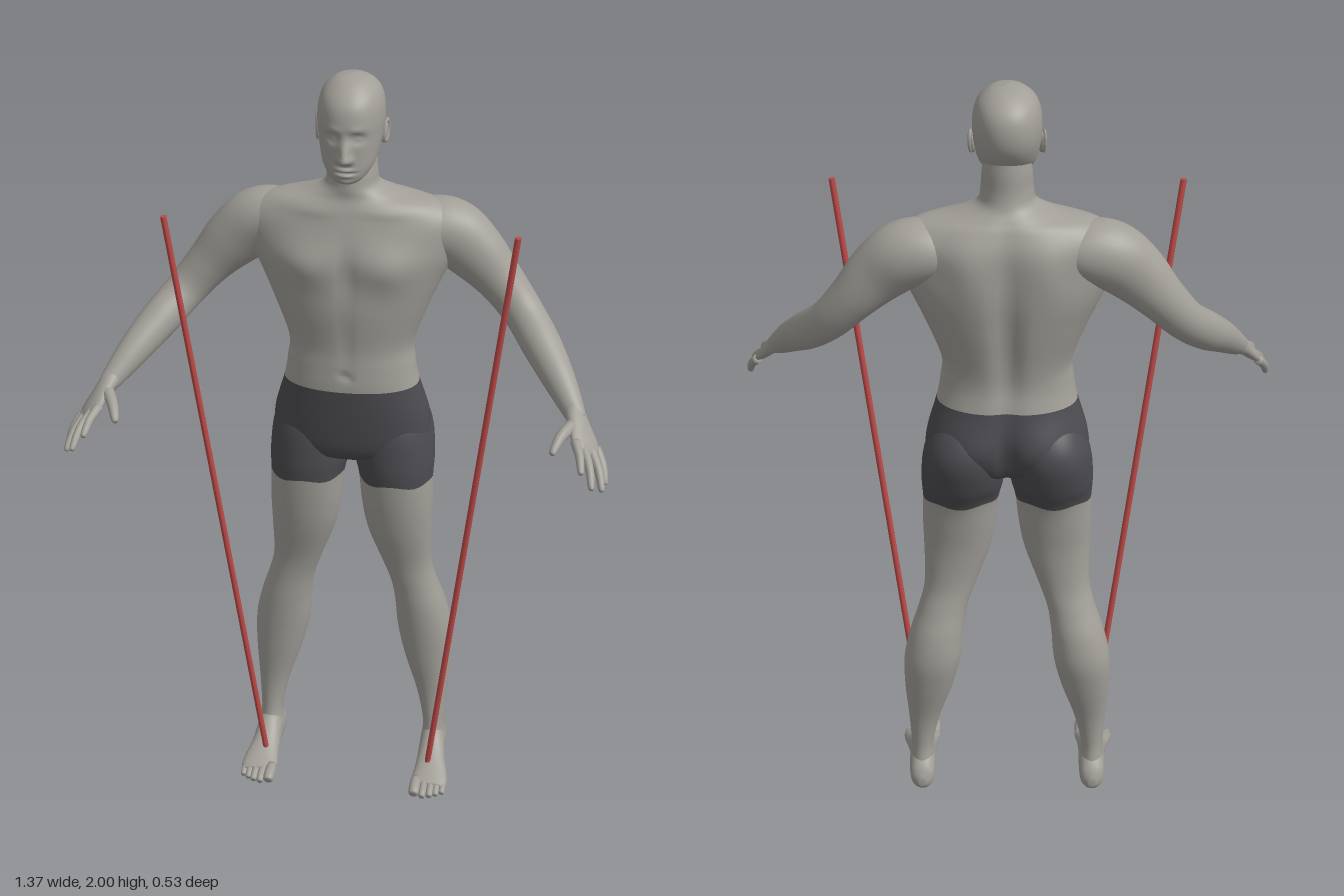
import * as THREE from 'three';

const V = (x, y, z) => new THREE.Vector3(x, y, z);
const G = (d, s) => Math.exp(-(d * d) / (s * s));
const { smoothstep, lerp } = THREE.MathUtils;
const spow = (v, e) => Math.sign(v) * Math.abs(v) ** e;

// Smooth interpolation through table rows, `steps` rows per interval
function refine(rows, steps) {
  const out = [], n = rows.length, at = i => rows[Math.min(n - 1, Math.max(0, i))];
  for (let k = 0; k <= (n - 1) * steps; k++) {
    const i = Math.min(n - 2, Math.floor(k / steps)), f = k / steps - i;
    out.push(rows[0].map((_, c) => {
      const a = at(i - 1)[c], b = at(i)[c], d = at(i + 1)[c], e = at(i + 2)[c];
      return b + 0.5 * f * (d - a + f * (2 * a - 5 * b + 4 * d - e + f * (3 * (b - d) + e - a)));
    }));
  }
  return out;
}

// Closed skin over rings of points; rows before splitRow take the first material
function skinRings(rings, splitRow) {
  const n = rings[0].length;
  const flat = r => {
    const c = r.reduce((s, p) => s.add(p), V(0, 0, 0)).divideScalar(n);
    return r.map(() => c.clone());
  };
  const all = [flat(rings[0]), ...rings, flat(rings[rings.length - 1])];
  const pos = [], idx = [];
  all.forEach(r => r.forEach(p => pos.push(p.x, p.y, p.z)));
  for (let r = 0; r < all.length - 1; r++) {
    for (let c = 0; c < n; c++) {
      const a = r * n + c, b = r * n + (c + 1) % n;
      idx.push(a, b, a + n, b, b + n, a + n);
    }
  }
  const g = new THREE.BufferGeometry();
  g.setAttribute('position', new THREE.Float32BufferAttribute(pos, 3));
  g.setIndex(idx);
  g.computeVertexNormals();
  if (splitRow !== undefined) {
    const cut = (splitRow + 1) * n * 6;
    g.addGroup(0, cut, 0);
    g.addGroup(cut, idx.length - cut, 1);
  }
  return g;
}

// Rows are [along, centreX, halfWidth, low, high]; y runs downward, z runs forward
function loft(rows, { axis = 'y', sides = 40, steps = 6, power = () => 2.15, split, shape } = {}) {
  const rings = refine(rows, steps).map(([t, cx, hw, lo, hi]) => {
    const ring = [], e = 2 / power(t);
    for (let i = 0; i < sides; i++) {
      const a = (i / sides) * Math.PI * 2;
      const x = cx + hw * spow(Math.cos(a), e);
      const w = (lo + hi) / 2 + (hi - lo) / 2 * spow(Math.sin(a), e);
      const p = axis === 'y' ? V(x, t, w) : V(x, w, t);
      if (shape) shape(p, Math.sin(a), a);
      ring.push(p);
    }
    return ring;
  });
  return skinRings(rings, split === undefined ? undefined : split * steps);
}

// Rows are [x, y, z, radius along ref, other radius], swept along the path
function sweep(rows, ref, sides = 24, steps = 6) {
  const pts = refine(rows, steps);
  const rings = pts.map((r, k) => {
    const p = pts[Math.max(0, k - 1)], q = pts[Math.min(pts.length - 1, k + 1)];
    const T = V(q[0] - p[0], q[1] - p[1], q[2] - p[2]).normalize();
    const N = ref.clone().addScaledVector(T, -ref.dot(T)).normalize();
    const B = T.clone().cross(N);
    return Array.from({ length: sides }, (_, i) => {
      const a = (i / sides) * Math.PI * 2;
      return V(r[0], r[1], r[2]).addScaledVector(N, r[3] * Math.cos(a)).addScaledVector(B, r[4] * Math.sin(a));
    });
  });
  return skinRings(rings);
}

// Rounded finger or toe through base, middle and tip
function digit(a, b, c, r0, r1, ref) {
  const e = [0, 1, 2].map(i => lerp(c[i], b[i], 0.12));
  return sweep([[...a, r0, r0], [...b, (r0 + r1) / 2, (r0 + r1) / 2], [...e, r1 * 0.85, r1 * 0.85], [...c, 0.001, 0.001]], ref, 12, 4);
}

function mirrorGeometry(g) {
  const m = g.clone().scale(-1, 1, 1), ix = m.index;
  for (let i = 0; i < ix.count; i += 3) {
    const t = ix.getX(i);
    ix.setX(i, ix.getX(i + 1));
    ix.setX(i + 1, t);
  }
  m.computeVertexNormals();
  return m;
}

// Chest, spine, shoulder blade and seat relief
function torsoShape(p, s) {
  const x = Math.abs(p.x), y = p.y;
  if (s > 0) {
    p.z += s * (0.018 * G(x - 0.11, 0.07) * G(y - 1.52, 0.055) - 0.008 * G(x, 0.018) * G(y - 1.51, 0.08)
      - 0.005 * G(x, 0.012) * G(y - 1.33, 0.09) - 0.008 * G(x, 0.008) * G(y - 1.225, 0.01)
      + 0.005 * G(x - 0.1, 0.07) * G(y - 1.66, 0.014));
  } else {
    p.z -= s * (0.022 * G(x, 0.03) * G(y - 1.4, 0.22) - 0.014 * G(x - 0.1, 0.05) * G(y - 1.58, 0.08)
      - 0.02 * G(x - 0.1, 0.07) * G(y - 1.07, 0.07) + 0.02 * G(x, 0.018) * G(y - 1.04, 0.08));
  }
}

// Slightly wavy hem on the shorts
function hemShape(p, s, a) {
  p.y += 0.004 * Math.sin(5 * a) * G(p.y - 0.903, 0.04);
}

// Nose, brows, eyes, lips and chin
function faceShape(p, s) {
  if (s <= 0) return;
  const x = Math.abs(p.x), y = p.y;
  const nose = (1 - smoothstep(y, 1.812, 1.885)) * smoothstep(y, 1.797, 1.815);
  p.z += s * (0.025 * G(x, 0.014) * nose + 0.007 * G(x - 0.014, 0.008) * G(y - 1.817, 0.009)
    - 0.012 * G(x - 0.032, 0.017) * G(y - 1.868, 0.013) + 0.006 * G(x - 0.032, 0.01) * G(y - 1.867, 0.007)
    + 0.003 * G(x - 0.03, 0.02) * G(y - 1.889, 0.009) + 0.007 * G(x, 0.022) * (G(y - 1.789, 0.006) + G(y - 1.775, 0.006))
    - 0.005 * G(x, 0.025) * G(y - 1.782, 0.003) + 0.005 * G(x, 0.02) * G(y - 1.757, 0.01));
}

export function createModel() {
  const model = new THREE.Group();
  const material = (name, color) => Object.assign(new THREE.MeshStandardMaterial({ color }), { name });
  const skin = material('skin', 0xa29f98);
  const cloth = material('dark shorts', 0x4c4b50);
  const red = material('red pole', 0xbc4a48);
  const add = (name, g, mat) => {
    const m = new THREE.Mesh(g, mat);
    m.name = name;
    model.add(m);
  };
  const pair = (name, g, mat) => {
    add('left' + name, g, mat);
    add('right' + name, mirrorGeometry(g), mat);
  };

  // Head and ears
  add('head', loft([
    [2.0, 0, 0.003, -0.112, -0.104], [1.992, 0, 0.038, -0.158, -0.062], [1.97, 0, 0.066, -0.193, -0.03],
    [1.94, 0, 0.079, -0.213, -0.006], [1.9, 0, 0.083, -0.218, 0.004], [1.86, 0, 0.08, -0.208, 0.004],
    [1.82, 0, 0.073, -0.178, 0.003], [1.79, 0, 0.063, -0.135, 0.003], [1.765, 0, 0.046, -0.09, 0.001],
    [1.752, 0, 0.028, -0.06, -0.006], [1.746, 0, 0.008, -0.04, -0.02],
  ], { sides: 96, steps: 10, shape: faceShape }), skin);
  const ear = new THREE.SphereGeometry(1, 16, 12).scale(0.009, 0.029, 0.016).rotateX(-0.2).rotateY(-0.25).translate(0.081, 1.857, -0.108);
  const rim = new THREE.TorusGeometry(0.016, 0.004, 8, 24).rotateY(Math.PI / 2).scale(1, 1.6, 0.9).rotateX(-0.2).rotateY(-0.25).translate(0.086, 1.859, -0.11);
  pair('Ear', ear, skin);
  pair('EarRim', rim, skin);

  // Neck, torso and the pelvis of the shorts
  add('torso', loft([
    [1.86, 0, 0.05, -0.18, -0.09], [1.8, 0, 0.06, -0.187, -0.075], [1.75, 0, 0.064, -0.19, -0.06],
    [1.715, 0, 0.074, -0.2, -0.055], [1.692, 0, 0.13, -0.216, -0.054], [1.668, 0, 0.228, -0.232, -0.046],
    [1.62, 0, 0.29, -0.25, -0.03], [1.55, 0, 0.268, -0.256, -0.01], [1.48, 0, 0.234, -0.256, -0.008],
    [1.4, 0, 0.199, -0.246, -0.006], [1.3, 0, 0.163, -0.228, -0.014], [1.24, 0, 0.166, -0.222, -0.012],
    [1.182, 0, 0.176, -0.23, -0.01], [1.08, 0, 0.204, -0.243, -0.018], [1.0, 0, 0.197, -0.22, -0.03],
    [0.968, 0, 0.12, -0.17, -0.055], [0.955, 0, 0.005, -0.12, -0.11],
  ], { sides: 72, split: 12, shape: torsoShape, power: y => 2.2 - 0.35 * smoothstep(y, 1.45, 1.6) }), [skin, cloth]);

  // Legs, with shorts down to the hem
  pair('Leg', loft([
    [1.16, 0.1, 0.05, -0.19, -0.09], [1.1, 0.105, 0.084, -0.242, -0.056], [1.04, 0.11, 0.101, -0.259, -0.036],
    [0.96, 0.113, 0.105, -0.24, -0.028], [0.903, 0.118, 0.098, -0.215, -0.03], [0.82, 0.123, 0.094, -0.2, -0.04],
    [0.74, 0.13, 0.085, -0.19, -0.055], [0.64, 0.148, 0.067, -0.19, -0.08], [0.57, 0.168, 0.063, -0.205, -0.088],
    [0.5, 0.185, 0.069, -0.225, -0.09], [0.42, 0.197, 0.074, -0.232, -0.095], [0.33, 0.208, 0.064, -0.216, -0.102],
    [0.22, 0.222, 0.042, -0.19, -0.11], [0.13, 0.229, 0.03, -0.183, -0.105], [0.07, 0.23, 0.032, -0.19, -0.09],
    [0.03, 0.23, 0.028, -0.18, -0.1],
  ], { split: 4, power: () => 2.05, shape: hemShape }), [cloth, skin]);

  // Feet and toes
  pair('Foot', loft([
    [-0.214, 0.23, 0.01, 0.02, 0.045], [-0.197, 0.23, 0.03, 0.003, 0.078], [-0.16, 0.23, 0.035, 0, 0.11],
    [-0.11, 0.231, 0.035, 0, 0.116], [-0.06, 0.234, 0.039, 0.002, 0.08], [-0.015, 0.238, 0.046, 0.002, 0.054],
    [0.015, 0.238, 0.05, 0, 0.04], [0.038, 0.238, 0.045, 0.004, 0.03],
  ], { axis: 'z', sides: 28 }), skin);
  [[0.203, 0.077, 0.015], [0.226, 0.079, 0.0105], [0.245, 0.073, 0.01], [0.261, 0.064, 0.0095], [0.277, 0.052, 0.009]]
    .forEach(([x, z, r]) => pair('Toe', digit([x, 0.024, z - 0.06], [x, r + 0.008, z - 0.02], [x, r, z], r, r, V(1, 0, 0)), skin));

  // Arms
  pair('Arm', sweep([
    [0.08, 1.595, -0.15, 0.05, 0.045], [0.17, 1.598, -0.152, 0.08, 0.073], [0.245, 1.585, -0.155, 0.08, 0.085],
    [0.31, 1.535, -0.15, 0.067, 0.077], [0.375, 1.465, -0.145, 0.057, 0.06], [0.435, 1.395, -0.122, 0.049, 0.052],
    [0.49, 1.335, -0.06, 0.049, 0.05], [0.54, 1.28, 0.01, 0.04, 0.042], [0.585, 1.225, 0.075, 0.027, 0.029],
    [0.6, 1.207, 0.1, 0.02, 0.022],
  ], V(0, 0, 1), 36), skin);

  // Hands
  const across = V(-0.055, 0.035, 0.05);
  pair('Palm', sweep([
    [0.575, 1.237, 0.06, 0.024, 0.022], [0.588, 1.222, 0.08, 0.027, 0.024], [0.603, 1.203, 0.11, 0.034, 0.02],
    [0.62, 1.175, 0.145, 0.044, 0.017], [0.63, 1.16, 0.167, 0.041, 0.013], [0.635, 1.152, 0.178, 0.025, 0.006],
  ], across), skin);
  [
    [[0.6, 1.185, 0.172], [0.614, 1.166, 0.213], [0.622, 1.138, 0.254]],
    [[0.618, 1.172, 0.168], [0.639, 1.143, 0.22], [0.65, 1.104, 0.266]],
    [[0.636, 1.16, 0.152], [0.661, 1.124, 0.196], [0.674, 1.085, 0.234]],
    [[0.65, 1.15, 0.13], [0.67, 1.118, 0.164], [0.679, 1.083, 0.192]],
  ].forEach(f => pair('Finger', digit(...f, 0.0125, 0.0095, across), skin));
  pair('Thumb', digit([0.597, 1.208, 0.108], [0.565, 1.196, 0.17], [0.546, 1.168, 0.218], 0.018, 0.011, across), skin);

  // Slanted poles beside the body
  const top = V(0.435, 1.676, 0.088), foot = V(0.228, 0.056, -0.029);
  const dir = top.clone().sub(foot);
  const pole = new THREE.CylinderGeometry(0.008, 0.008, dir.length(), 12)
    .applyQuaternion(new THREE.Quaternion().setFromUnitVectors(V(0, 1, 0), dir.clone().normalize()))
    .translate(...top.clone().add(foot).multiplyScalar(0.5).toArray());
  pair('Pole', pole, red);
  return model;
}
